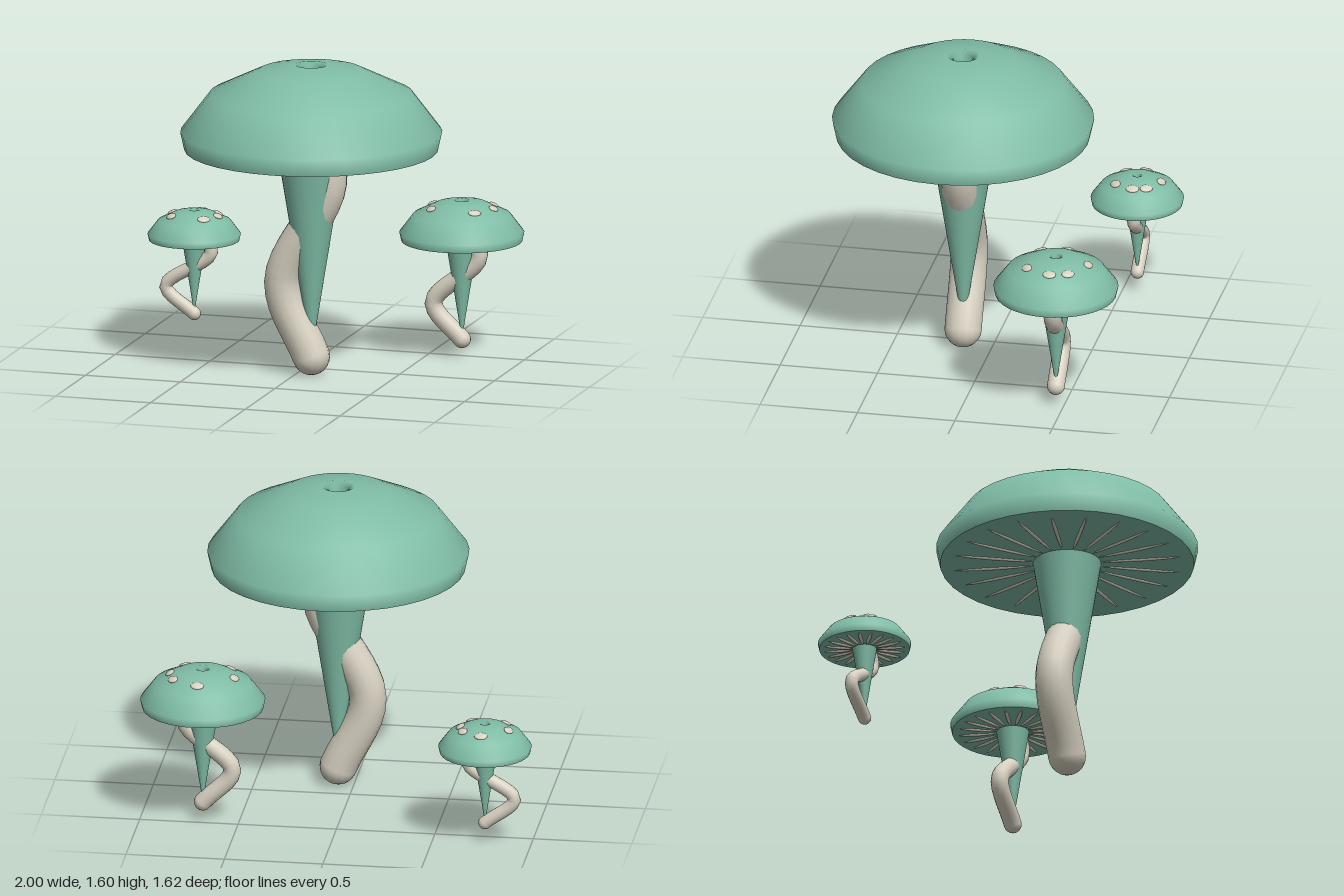
import * as THREE from 'three';

const green = new THREE.MeshStandardMaterial({ color: 0x7fbca6 });
green.name = 'sage green';
const cream = new THREE.MeshStandardMaterial({ color: 0xd6d0c0 });
cream.name = 'cream';

function add(parent, name, geometry, material) {
  const mesh = new THREE.Mesh(geometry, material);
  mesh.name = name;
  parent.add(mesh);
  return mesh;
}

function lathe(points, s) {
  return new THREE.LatheGeometry(points.map(([r, y]) => new THREE.Vector2(r * s, y * s)), 36);
}

// One mushroom at scale s; the sideways bend of the stem is the same at every scale
function mushroom(name, s, x, y, z, spotted) {
  const group = new THREE.Group();
  group.name = name;
  group.position.set(x, y, z);

  // Domed cap with a small pit at the crown
  add(group, 'cap', lathe([
    [0.64, 1.17], [0.66, 1.26], [0.513, 1.455], [0.265, 1.575],
    [0.08, 1.605], [0.05, 1.585], [0.05, 1.475],
  ], s), green);
  add(group, 'capUnderside', lathe([[0.1, 1.17], [0.64, 1.17]], s), green);
  add(group, 'innerCone', lathe([[0, 0.1], [0.173, 1.175]], s), green);

  // Bent stem with rounded ends
  const path = new THREE.CatmullRomCurve3([
    [0, 0.1], [-0.15, 0.48], [0.09, 1.0], [0, 1.4],
  ].map(([px, py]) => new THREE.Vector3(px, py * s, 0)));
  const radius = 0.095 * s;
  add(group, 'stem', new THREE.TubeGeometry(path, 24, radius, 16), cream);
  for (const [t, part] of [[0, 'stemFoot'], [1, 'stemTop']]) {
    add(group, part, new THREE.SphereGeometry(radius, 16, 12), cream).position.copy(path.getPoint(t));
  }

  // Gills fanned out beneath the cap
  const gills = new THREE.Group();
  gills.name = 'gills';
  group.add(gills);
  const count = 20;
  for (let i = 0; i < count; i++) {
    const a = (i / count) * Math.PI * 2;
    const gill = add(gills, 'gill', new THREE.SphereGeometry(1, 10, 8), cream);
    gill.scale.set(0.2 * s, 0.01, 0.009);
    gill.position.set(Math.cos(a) * 0.375 * s, 1.17 * s, Math.sin(a) * 0.375 * s);
    gill.rotation.y = -a;
  }

  // Flattened spots lying on the slope of the cap
  if (spotted) {
    const r = 0.35;
    for (const degrees of [-88, -33, 0, 50, 141, 190]) {
      const pivot = new THREE.Group();
      pivot.name = 'spotPivot';
      pivot.rotation.y = -THREE.MathUtils.degToRad(degrees);
      group.add(pivot);
      const spot = add(pivot, 'spot', new THREE.SphereGeometry(1, 14, 10), cream);
      spot.scale.set(0.024, 0.01, 0.034);
      spot.position.set(r * s, 1.534 * s, 0);
      spot.rotation.z = -0.45;
    }
  }
  return group;
}

export function createModel() {
  const model = new THREE.Group();
  model.name = 'mushroomCluster';
  model.add(
    mushroom('largeMushroom', 1, 0.08, 0, 0.146, false),
    mushroom('mediumMushroom', 0.477, 0.685, 0.053, -0.455, true),
    mushroom('smallMushroom', 0.356, -0.765, 0.073, -0.575, true),
  );
  return model;
}
